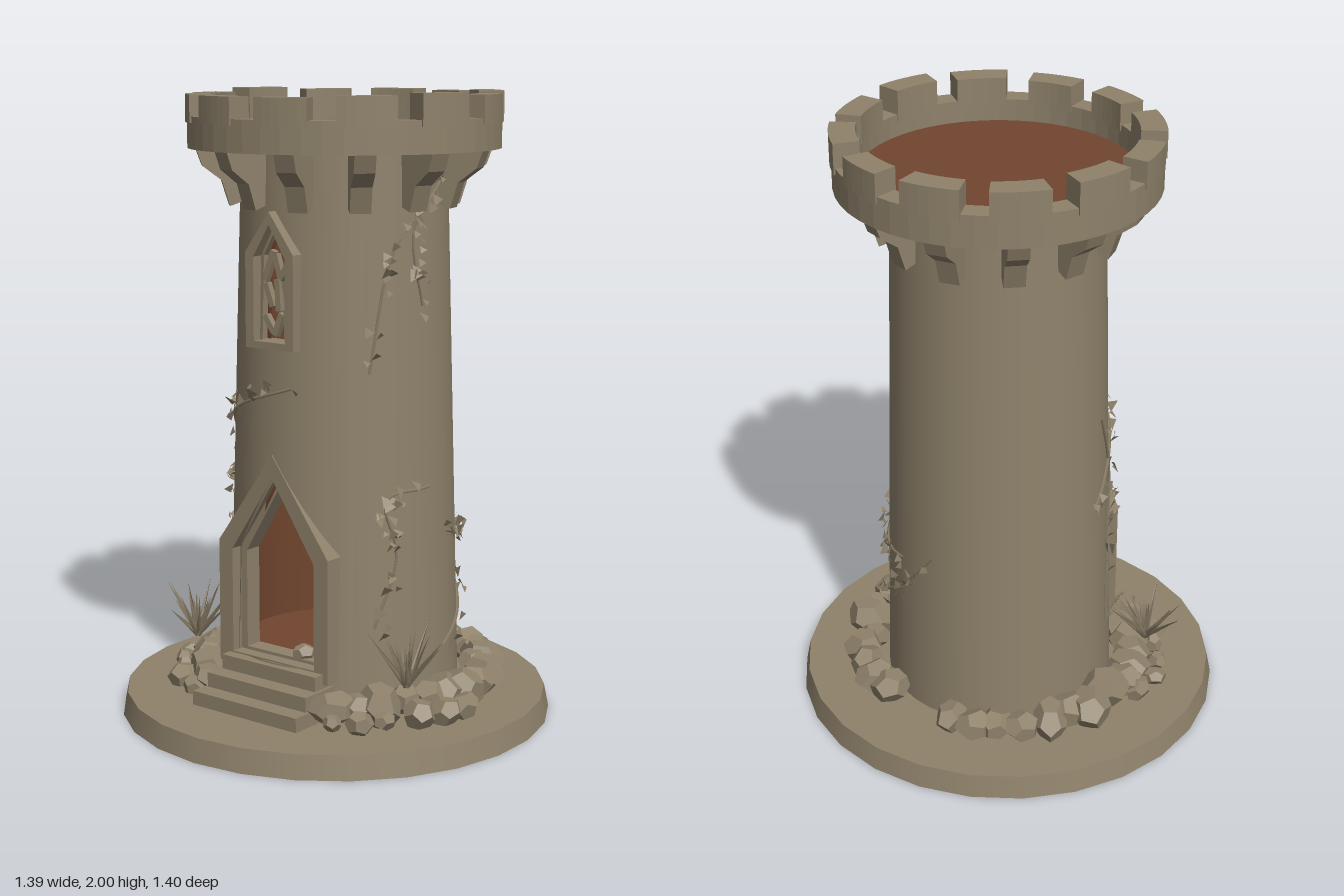
import * as THREE from 'three';
import { mergeGeometries } from 'three/addons/utils/BufferGeometryUtils.js';

const CZ = -0.045; // tower axis
const TOP = 1.83;
const DOOR = { w: 0.165, bottom: 0.22, spring: 0.56, peak: 0.81 };
const WINDOW = { w: 0.062, bottom: 1.24, spring: 1.5, peak: 1.6 };
const rad = THREE.MathUtils.degToRad;
const wallRadius = (y) => 0.379 - 0.029 * y;

let seed = 7;
function rnd(a = 0, b = 1) {
  seed = (seed * 16807) % 2147483647;
  return a + (b - a) * (seed / 2147483647);
}

// Point on the wall; angle is measured from the front (+z) towards +x
function onWall(a, y, out = 0) {
  const r = wallRadius(y) + out;
  return new THREE.Vector3(Math.sin(a) * r, y, Math.cos(a) * r + CZ);
}

function merged(list) {
  return mergeGeometries(list.map((g) => (g.index ? g.toNonIndexed() : g)));
}

// Tapered round wall made of vertical strips that leave out the pointed openings
function wallGeometry(inset, y0, y1) {
  const edges = [0, 0.03, WINDOW.w, 0.11, DOOR.w].map((x) => Math.asin(x / 0.36));
  for (let a = 40; a <= 180; a += 10) edges.push(rad(a));
  const angles = [...edges.slice(1).reverse().map((a) => -a), ...edges];
  const pos = [], nor = [];
  const archTop = (o, x) => o.peak - ((o.peak - o.spring) * Math.abs(x)) / o.w;
  const put = (a, y) => {
    pos.push(...onWall(a, y, -inset).toArray());
    nor.push(Math.sin(a), 0.03, Math.cos(a));
  };
  for (let i = 0; i + 1 < angles.length; i++) {
    const pair = [angles[i], angles[i + 1]];
    const xs = pair.map((a) => Math.sin(a) * 0.36);
    const mid = (pair[0] + pair[1]) / 2;
    const cuts = [[y0, y0]];
    for (const o of [DOOR, WINDOW]) {
      if (Math.cos(mid) > 0 && Math.abs(Math.sin(mid) * 0.36) < o.w) {
        cuts.push([o.bottom, o.bottom], xs.map((x) => archTop(o, x)));
      }
    }
    cuts.push([y1, y1]);
    for (let k = 0; k < cuts.length; k += 2) {
      const [lo, hi] = [cuts[k], cuts[k + 1]];
      put(pair[0], lo[0]); put(pair[1], lo[1]); put(pair[1], hi[1]);
      put(pair[0], lo[0]); put(pair[1], hi[1]); put(pair[0], hi[0]);
    }
  }
  const g = new THREE.BufferGeometry();
  g.setAttribute('position', new THREE.Float32BufferAttribute(pos, 3));
  g.setAttribute('normal', new THREE.Float32BufferAttribute(nor, 3));
  return g;
}

// Pointed arch frame around an opening
function frameGeometry(o, border, rise, depth) {
  const outline = (b, p, low) => [[-o.w - b, o.bottom - low], [o.w + b, o.bottom - low],
    [o.w + b, o.spring + b * 0.4], [0, o.peak + p], [-o.w - b, o.spring + b * 0.4]]
    .map(([x, y]) => new THREE.Vector2(x, y));
  const shape = new THREE.Shape(outline(border, rise, border * 0.7));
  shape.holes.push(new THREE.Path(outline(0, 0, 0)));
  return new THREE.ExtrudeGeometry(shape, { depth, bevelEnabled: false });
}

// Curved block: part of a ring between two angles
function arcBlock(r0, r1, y0, y1, a0, a1, steps) {
  const s = new THREE.Shape();
  s.absarc(0, 0, r1, a0, a1, false);
  s.absarc(0, 0, r0, a1, a0, true);
  const g = new THREE.ExtrudeGeometry(s, { depth: y1 - y0, bevelEnabled: false, curveSegments: steps });
  return g.rotateX(-Math.PI / 2).translate(0, y0, CZ);
}

// Faceted stone with irregular proportions
function rock(x, y, z, size) {
  const g = new THREE.DodecahedronGeometry(size, 0);
  g.scale(rnd(0.8, 1.2), rnd(0.75, 1), rnd(0.8, 1.2));
  g.rotateX(rnd(-0.5, 0.5)).rotateY(rnd(0, 6));
  g.computeVertexNormals();
  return g.translate(x, y, z);
}

export function createModel() {
  const model = new THREE.Group();
  const stone = new THREE.MeshStandardMaterial({ color: 0x8f826b });
  const stoneThin = stone.clone();
  stoneThin.side = THREE.DoubleSide;
  const clay = new THREE.MeshStandardMaterial({ color: 0x70452e, side: THREE.DoubleSide });
  stone.name = 'stone';
  stoneThin.name = 'stone';
  clay.name = 'brown clay';
  const add = (name, geometry, material = stone) => {
    const m = new THREE.Mesh(geometry, material);
    m.name = name;
    model.add(m);
  };

  // Ground disc, wall and brown interior
  add('groundDisc', new THREE.CylinderGeometry(0.685, 0.7, 0.075, 26).translate(0, 0.0375, 0));
  add('towerWall', wallGeometry(0, 0.07, TOP));
  add('interiorLining', wallGeometry(0.035, 0.07, TOP), clay);
  add('interiorFloor', new THREE.CylinderGeometry(0.335, 0.335, 0.02, 24).translate(0, 0.2, CZ), clay);
  add('roofFloor', new THREE.CylinderGeometry(0.43, 0.43, 0.02, 24).translate(0, 1.84, CZ), clay);

  // Door and window surrounds
  add('doorFrame', frameGeometry(DOOR, 0.055, 0.075, 0.1).translate(-0.01, 0, 0.212));
  add('doorInnerFrame', frameGeometry({ w: 0.14, bottom: 0.23, spring: 0.55, peak: 0.78 }, 0.03, 0.04, 0.06).translate(-0.01, 0, 0.21));
  add('windowFrame', frameGeometry(WINDOW, 0.032, 0.04, 0.08).translate(-0.01, 0, 0.24));
  const shards = [];
  for (let i = 0; i < 9; i++) {
    const g = new THREE.BoxGeometry(0.02, rnd(0.06, 0.11), 0.02);
    g.rotateZ(rnd(-0.7, 0.7));
    shards.push(g.translate(-0.01 + (i % 3 - 1) * 0.035, 1.29 + Math.floor(i / 3) * 0.09, 0.27));
  }
  add('windowTracery', merged(shards));

  // Front steps
  for (let i = 0; i < 3; i++) {
    const d = 0.24 - i * 0.06;
    add('step' + (i + 1), new THREE.BoxGeometry(0.42 - i * 0.02, 0.048, d).translate(0, 0.097 + i * 0.047, 0.23 + d / 2));
  }

  // Parapet ring with twelve merlons and corbels
  add('parapetRing', merged([0, 1, 2, 3].map((i) =>
    arcBlock(0.425, 0.495, 1.82, 1.92, i * Math.PI / 2, (i + 1) * Math.PI / 2, 6))));
  const merlons = [], corbels = [];
  const bracket = new THREE.Shape([[0.31, 1.66], [0.365, 1.64], [0.39, 1.72], [0.45, 1.765], [0.47, 1.82], [0.31, 1.82]]
    .map(([x, y]) => new THREE.Vector2(x, y)));
  for (let i = 0; i < 12; i++) {
    const a = rad(15 + i * 30);
    const half = rad(rnd(9.2, 10.6));
    merlons.push(arcBlock(0.42, 0.5, 1.9, rnd(1.98, 2), a - half, a + half, 3));
    const c = new THREE.ExtrudeGeometry(bracket, { depth: 0.065, bevelEnabled: false });
    corbels.push(c.translate(0, 0, -0.0325).rotateY(a).translate(0, 0, CZ));
  }
  add('merlons', merged(merlons));
  add('corbels', merged(corbels));

  // Stones piled around the foot, leaving the stairs free
  const rocks = [rock(0.06, 0.24, 0.24, 0.04)];
  for (const side of [-1, 1]) {
    for (let deg = 32; deg < 170; deg += 10) {
      const a = rad(deg + rnd(-2, 2)) * side;
      const r = rnd(0.43, 0.47);
      rocks.push(rock(Math.sin(a) * r, 0.13, Math.cos(a) * r + CZ, rnd(0.055, 0.08)));
      if (deg < 90) {
        const q = rnd(0.51, 0.55);
        rocks.push(rock(Math.sin(a) * q, 0.11, Math.cos(a) * q + CZ, rnd(0.035, 0.055)));
      }
    }
  }
  add('footStones', merged(rocks));

  // Spiky grass tufts on both sides of the door
  const blades = [];
  for (const x of [-0.43, 0.43]) {
    for (let i = 0; i < 22; i++) {
      const h = rnd(0.12, 0.23);
      const g = new THREE.ConeGeometry(0.012, h, 3).translate(0, h / 2, 0);
      g.rotateZ(rnd(0.05, 0.85)).rotateY(i * 2.4);
      blades.push(g.translate(x, 0.2, 0.2));
    }
  }
  add('grassTufts', merged(blades));

  // Creeping vines: [angle in degrees, height]
  const paths = [
    [[50, 1.15], [62, 1.5], [85, 1.65], [117, 1.8]],
    [[52, 0.35], [64, 0.58], [58, 0.74], [85, 0.78]],
    [[95, 0.25], [130, 0.36], [160, 0.5], [182, 0.66]],
    [[-85, 0.78], [-55, 0.95], [-30, 1.02], [10, 1.1]],
    [[-72, 0.3], [-68, 0.6], [-62, 0.82], [-76, 1.08]],
    [[82, 1.35], [76, 1.55], [88, 1.78]],
    [[100, 0.62], [130, 0.57], [160, 0.6]],
  ];
  const stems = [], leaves = [];
  for (const path of paths) {
    const curve = new THREE.CatmullRomCurve3(path.map(([a, y]) => new THREE.Vector3(rad(a), y, 0)));
    const points = curve.getPoints(16).map((p) => onWall(p.x, p.y, 0.003));
    stems.push(new THREE.TubeGeometry(new THREE.CatmullRomCurve3(points), 32, 0.006, 4));
    for (let i = 0; i < 26; i++) {
      const p = curve.getPoint(rnd());
      const g = new THREE.CircleGeometry(rnd(0.012, 0.026), 3);
      g.rotateX(rnd(-0.8, 0.8)).rotateY(p.x + rnd(-0.7, 0.7));
      const q = onWall(p.x + rnd(-0.08, 0.08), p.y + rnd(-0.04, 0.04), rnd(0.008, 0.03));
      leaves.push(g.translate(q.x, q.y, q.z));
    }
  }
  add('vineStems', merged(stems));
  add('vineLeaves', merged(leaves), stoneThin);
  return model;
}
